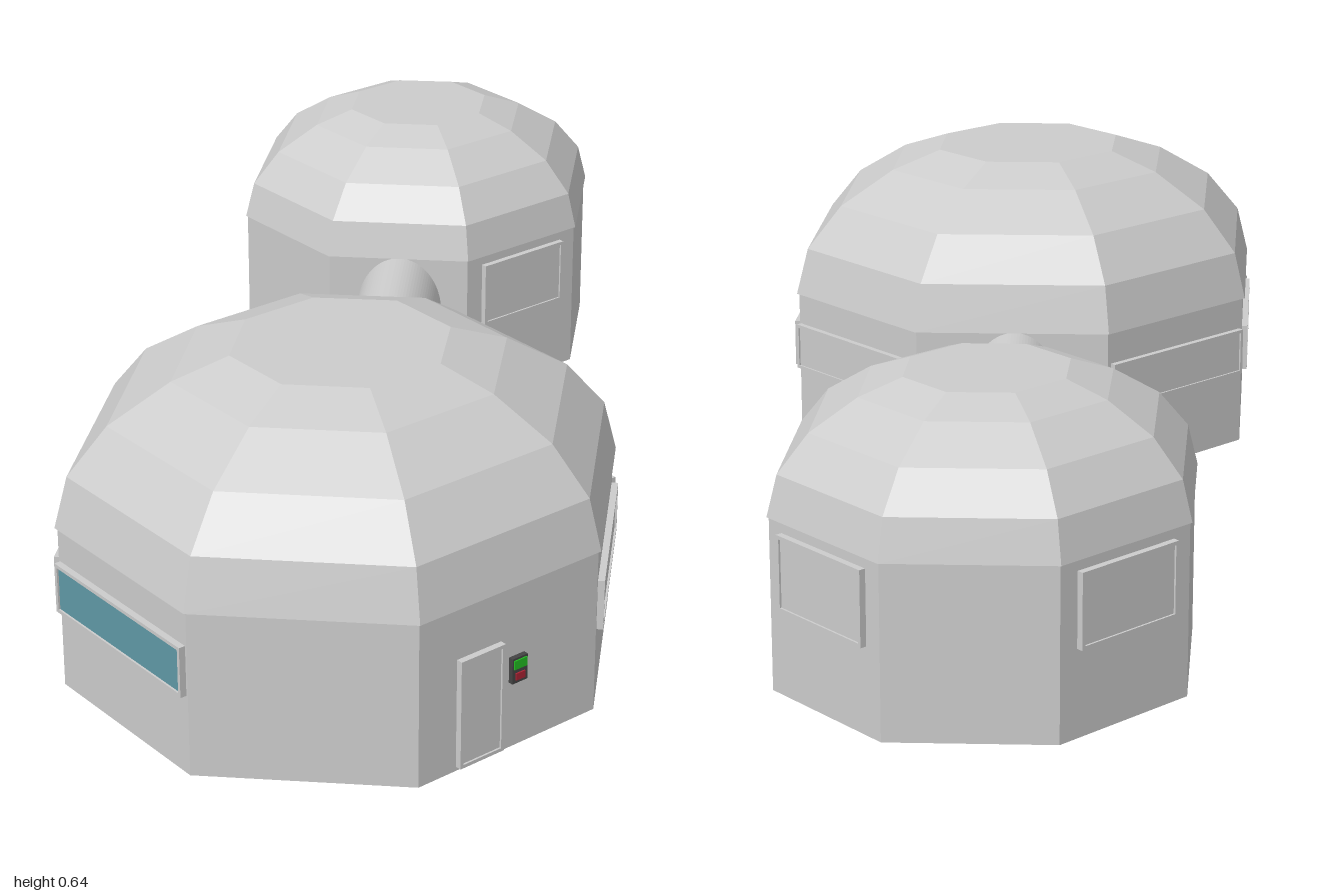
import * as THREE from 'three';

// Octagonal footprint shared by both domes, counter-clockwise from the front edge
const FOOT = [[-.223, .5], [.207, .5], [.52, .206], [.522, -.206],
  [.223, -.498], [-.2, -.498], [-.515, -.206], [-.518, .206]];
const WALL_H = .335, WALL_S = .99;

const paint = color => new THREE.MeshStandardMaterial({ color });
const grey = paint(0xcccccc);
const facet = new THREE.MeshStandardMaterial({ color: 0xcccccc, flatShading: true });

function add(parent, name, geometry, material = grey, x = 0, y = 0, z = 0) {
  const mesh = new THREE.Mesh(geometry, material);
  mesh.name = name;
  mesh.position.set(x, y, z);
  parent.add(mesh);
  return mesh;
}

// Faceted solid through scaled copies of the footprint: rings = [[scale, y], ...]
function loft(rings) {
  const p = [], n = FOOT.length;
  const v = (k, i) => [FOOT[i % n][0] * rings[k][0], rings[k][1], FOOT[i % n][1] * rings[k][0]];
  for (let i = 0; i < n; i++) {
    for (let k = 0; k < rings.length - 1; k++) {
      const a = v(k, i), b = v(k, i + 1), c = v(k + 1, i + 1), d = v(k + 1, i);
      p.push(...a, ...b, ...c, ...a, ...c, ...d);
    }
    const last = rings.length - 1;
    p.push(0, rings[0][1], 0, ...v(0, i + 1), ...v(0, i));
    p.push(0, rings[last][1], 0, ...v(last, i), ...v(last, i + 1));
  }
  const g = new THREE.BufferGeometry();
  g.setAttribute('position', new THREE.Float32BufferAttribute(p, 3));
  g.computeVertexNormals();
  return g;
}

// Wall prism plus truncated, stepped dome roof
function habitat(name, x, z, size, roofHeight) {
  const group = new THREE.Group();
  group.name = name;
  group.position.set(x, 0, z);
  add(group, 'walls', loft([[size * WALL_S, 0], [size * WALL_S, WALL_H]]), facet);
  const rings = [0, 18, 36, 54, 67.3].map(deg => {
    const t = THREE.MathUtils.degToRad(deg);
    return [size * Math.cos(t), WALL_H + roofHeight * Math.sin(t)];
  });
  add(group, 'domeRoof', loft(rings), facet);
  group.userData.size = size;
  return group;
}

// Group lying on a wall: x runs along the wall, z points outwards
function onWall(home, name, face) {
  const s = home.userData.size * WALL_S;
  const [a, b] = [FOOT[face], FOOT[(face + 1) % 8]];
  const g = new THREE.Group();
  g.name = name;
  g.position.set((a[0] + b[0]) / 2 * s, 0, (a[1] + b[1]) / 2 * s);
  g.rotation.y = Math.atan2(-(b[1] - a[1]), b[0] - a[0]);
  home.add(g);
  return g;
}

function rectangle(type, w, h) {
  const r = new type();
  r.moveTo(-w / 2, -h / 2).lineTo(w / 2, -h / 2).lineTo(w / 2, h / 2).lineTo(-w / 2, h / 2).closePath();
  return r;
}

// Thin raised frame around a slightly recessed pane
function framedPanel(parent, name, w, h, x, y, material = grey) {
  const border = .007;
  const shape = rectangle(THREE.Shape, w, h);
  shape.holes.push(rectangle(THREE.Path, w - 2 * border, h - 2 * border));
  add(parent, name + 'Frame', new THREE.ExtrudeGeometry(shape, { depth: .013, bevelEnabled: false }), grey, x, y, 0);
  add(parent, name + 'Pane', new THREE.BoxGeometry(w - border, h - border, .01), material, x, y, .004);
}

export function createModel() {
  const model = new THREE.Group();
  model.name = 'domeHabitat';

  const large = habitat('largeDome', -.472, .465, 1, .33);
  const small = habitat('smallDome', .603, -.597, .755, .254);
  model.add(large, small);

  // Windows by wall: 0 front, 1 front left, 2 left, 4 back, 5 back right, 6 right
  for (const face of [1, 2, 4, 5, 6]) {
    const glass = face === 6 ? paint(0x5f98a5) : grey;
    framedPanel(onWall(large, 'largeDomeWindow', face), 'window', .4, .102, 0, .215, glass);
  }
  for (const face of [0, 2, 4]) {
    framedPanel(onWall(small, 'smallDomeWindow', face), 'window', .235, .145, 0, .242);
  }

  // Door and entry control panel
  const entry = onWall(large, 'entrance', 0);
  framedPanel(entry, 'door', .104, .222, -.073, .12);
  add(entry, 'controlPanel', new THREE.BoxGeometry(.036, .052, .012), paint(0x444444), .017, .164, .004);
  add(entry, 'greenLight', new THREE.BoxGeometry(.03, .018, .006), paint(0x22bb22), .017, .177, .01);
  add(entry, 'redLight', new THREE.BoxGeometry(.022, .014, .006), paint(0xaa2233), .017, .152, .01);

  // Arched tunnel joining the facing walls
  const hw = .095, spring = .21, floor = .006;
  const arch = new THREE.Shape();
  arch.moveTo(-hw, floor).lineTo(hw, floor).lineTo(hw, spring);
  arch.absellipse(0, spring, hw, WALL_H - spring, 0, Math.PI, false);
  arch.closePath();
  const start = new THREE.Vector3(-.14, 0, .147), end = new THREE.Vector3(.365, 0, -.37);
  const tunnelGeometry = new THREE.ExtrudeGeometry(arch, {
    depth: start.distanceTo(end), bevelEnabled: false, curveSegments: 24 });
  const tunnel = add(model, 'tunnel', tunnelGeometry, grey, start.x, 0, start.z);
  tunnel.rotation.y = Math.atan2(end.x - start.x, end.z - start.z);

  return model;
}
